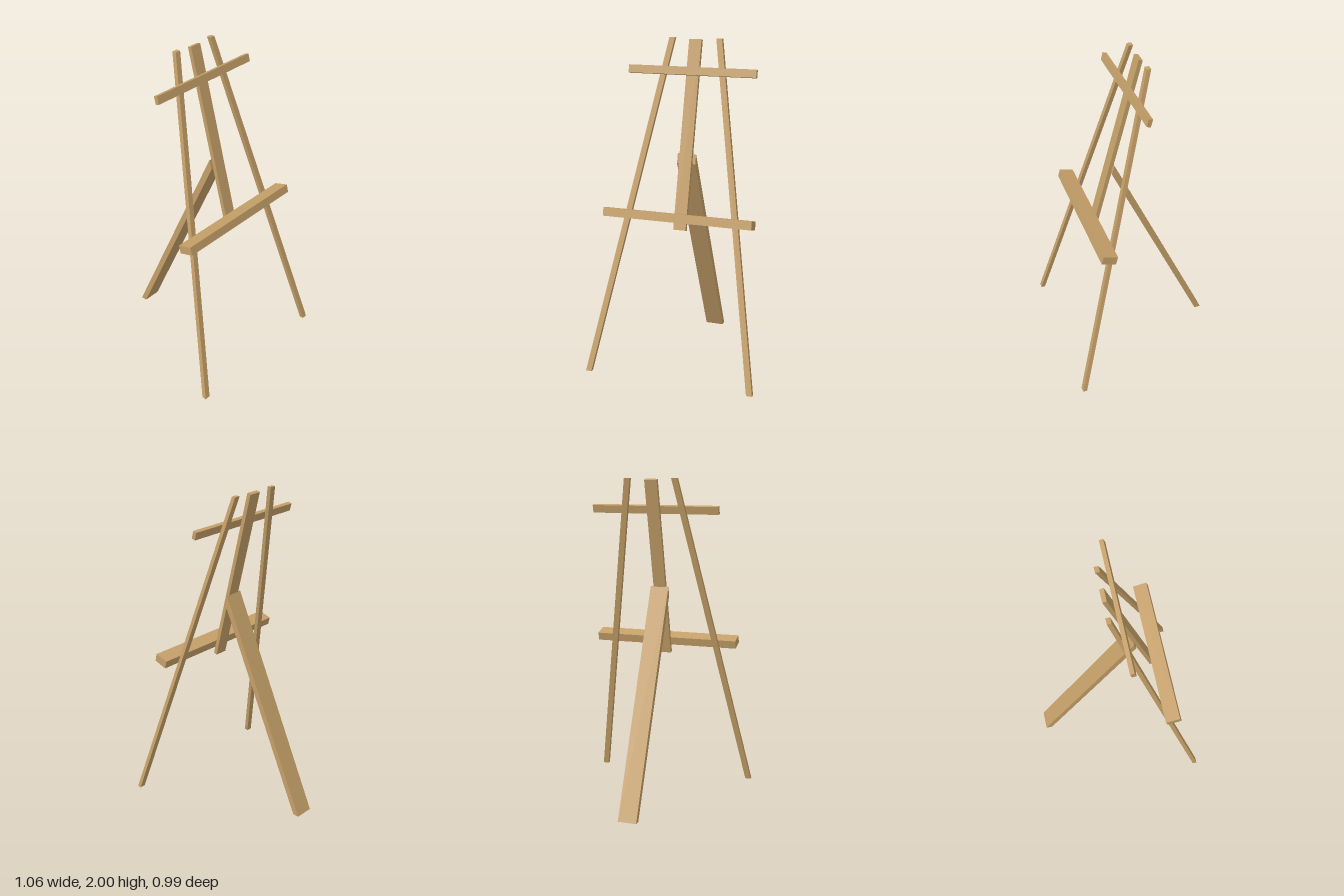
import * as THREE from 'three';

const wood = new THREE.MeshStandardMaterial({ color: 0xc49f68 });
const LEAN = Math.atan(0.268); // backward lean of the front frame

// Beam whose side profile is [backZ, frontZ, backY, frontY] at each end
function profileBeam(name, width, bottom, top) {
  const geo = new THREE.BoxGeometry(1, 1, 1);
  const p = geo.attributes.position;
  for (let i = 0; i < p.count; i++) {
    const end = p.getY(i) > 0 ? top : bottom;
    const front = p.getZ(i) > 0 ? 1 : 0;
    p.setXYZ(i, end.x + p.getX(i) * width, end.y[front], end.z[front]);
  }
  geo.computeVertexNormals();
  const mesh = new THREE.Mesh(geo, wood);
  mesh.name = name;
  return mesh;
}

// Square-cut board lying parallel to the leaning frame
function leaningBoard(name, width, height, depth, y, z) {
  const mesh = new THREE.Mesh(new THREE.BoxGeometry(width, height, depth), wood);
  mesh.name = name;
  mesh.position.set(0, y, z);
  mesh.rotation.x = -LEAN;
  return mesh;
}

export function createModel() {
  const easel = new THREE.Group();
  easel.name = 'easel';

  // Pair of front legs, cut level at floor and top
  for (const side of [1, -1]) {
    easel.add(profileBeam(side > 0 ? 'leftFrontLeg' : 'rightFrontLeg', 0.036,
      { x: side * 0.513, y: [0, 0], z: [0.471, 0.497] },
      { x: side * 0.148, y: [2, 2], z: [-0.065, -0.039] }));
  }

  // Rear prop, its top cut to meet the centre post
  easel.add(profileBeam('rearLeg', 0.116,
    { x: 0, y: [0, 0], z: [-0.497, -0.457] },
    { x: 0, y: [1.33, 1.272], z: [0.117, 0.133] }));

  // Centre post, top rail and canvas shelf
  easel.add(leaningBoard('centrePost', 0.078, 1.143, 0.025, 1.44, 0.098));
  easel.add(leaningBoard('topRail', 0.8, 0.048, 0.025, 1.812, 0.027));
  easel.add(leaningBoard('canvasShelf', 0.928, 0.051, 0.09, 0.972, 0.284));
  return easel;
}
